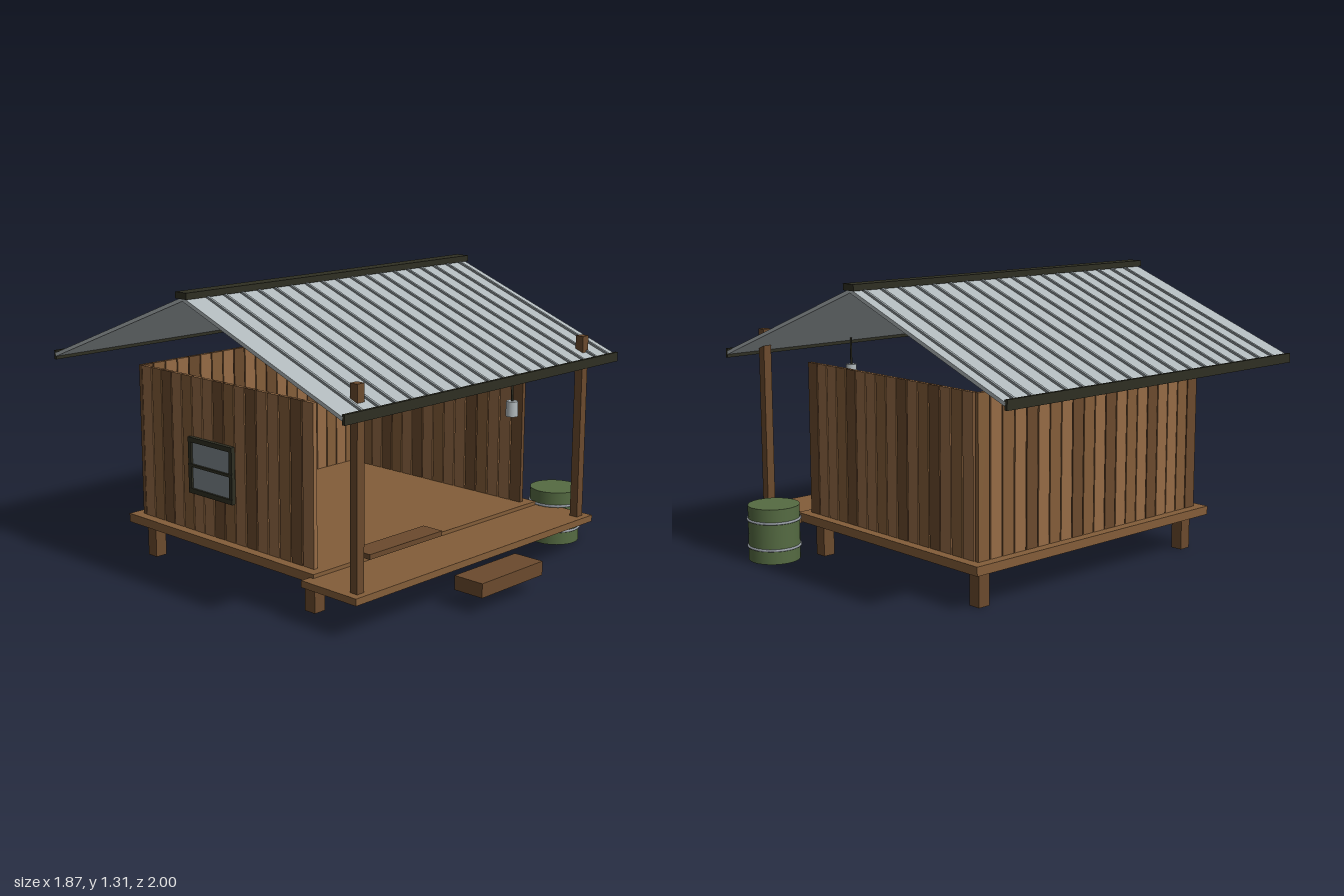
import * as THREE from 'three';

const mat = (name, color) => {
  const m = new THREE.MeshStandardMaterial({ color });
  m.name = name;
  return m;
};

export function createModel() {
  const lightWood = mat('light wood', 0x956b45);
  const midWood = mat('mid wood', 0x835d39);
  const darkWood = mat('dark wood', 0x6b4a2d);
  const roofMetal = mat('roof metal', 0xb0b8bb);
  const seamMetal = mat('seam metal', 0x8c9497);
  const darkTrim = mat('dark trim', 0x2e2e22);
  const barrelGreen = mat('barrel green', 0x556b42);
  const hoopMetal = mat('hoop metal', 0x9298a0);
  const glass = mat('window glass', 0x7d878c);
  const woods = { L: lightWood, M: midWood, D: darkWood };

  const model = new THREE.Group();
  model.name = 'cabin';

  const group = (name, parent = model) => {
    const g = new THREE.Group();
    g.name = name;
    parent.add(g);
    return g;
  };
  const add = (name, geo, material, x, y, z, parent = model) => {
    const m = new THREE.Mesh(geo, material);
    m.name = name;
    m.position.set(x, y, z);
    parent.add(m);
    return m;
  };
  // Box given by its lower and upper limits on each axis
  const box = (name, material, [x0, x1], [y0, y1], [z0, z1], parent = model) =>
    add(name, new THREE.BoxGeometry(x1 - x0, y1 - y0, z1 - z0), material,
      (x0 + x1) / 2, (y0 + y1) / 2, (z0 + z1) / 2, parent);

  const cx = -0.045; // house axis in x
  const cz = -0.06;  // ridge line in z

  // Floor, lower porch deck and stilts
  box('floor', midWood, [cx - 0.735, cx + 0.735], [0.16, 0.2], [-0.67, 0.55]);
  box('porchDeck', midWood, [cx - 0.785, cx + 0.785], [0.153, 0.183], [0.53, 0.84]);
  for (const sx of [-1, 1])
    for (const sz of [-1, 1]) {
      const x = cx + sx * 0.645, z = cz + sz * 0.525;
      box('stilt', darkWood, [x - 0.029, x + 0.029], [0, 0.16], [z - 0.029, z + 0.029]);
    }

  // Plank walls with narrow open gaps; the front stays open
  const backWall = group('backWall');
  const backPattern = 'DMLLDLMLDLMDLMLDLMLM';
  for (let i = 0; i < 20; i++) {
    const x = cx - 0.69 + i * 0.069;
    box('plank', woods[backPattern[i]], [x + 0.003, x + 0.066], [0.2, 0.9], [-0.625, -0.605], backWall);
  }
  const sidePattern = { '1': 'DLLMDLLMLDLMDLML', '-1': 'LDMLLDLMDLLMLDML' };
  for (const s of [-1, 1]) {
    const wall = group(s > 0 ? 'leftWall' : 'rightWall');
    const x = cx + s * 0.68;
    for (let i = 0; i < 16; i++) {
      const z = 0.507 - i * 0.0695;
      box('plank', woods[sidePattern[s][i]], [x - 0.01, x + 0.01], [0.2, 0.9], [z - 0.063, z], wall);
    }
  }

  // Window on the right wall
  const win = group('window');
  box('pane', glass, [-0.746, -0.736], [0.39, 0.62], [-0.25, 0.01], win);
  for (const [y0, y1] of [[0.378, 0.4], [0.499, 0.511], [0.61, 0.632]])
    box('frameRail', darkTrim, [-0.756, -0.736], [y0, y1], [-0.263, 0.027], win);
  for (const z of [-0.263, 0.007])
    box('frameStile', darkTrim, [-0.755, -0.736], [0.379, 0.631], [z, z + 0.02], win);

  // Porch posts, running up through the roof
  for (const s of [-1, 1]) {
    const x = cx + s * 0.728;
    box('porchPost', darkWood, [x - 0.02, x + 0.02], [0.18, 1.03], [0.77, 0.81]);
  }

  // Roof: two sloping sheets with standing seams
  const run = 0.93, rise = 0.355;
  const length = Math.hypot(run, rise);
  for (const s of [-1, 1]) {
    const slope = group(s > 0 ? 'frontRoof' : 'backRoof');
    slope.position.set(cx, 1.287, cz);
    slope.rotation.x = s * Math.atan2(rise, run);
    add('roofSheet', new THREE.BoxGeometry(1.77, 0.016, length), roofMetal, 0, -0.008, s * length / 2, slope);
    for (let i = 0; i < 18; i++)
      add('seam', new THREE.BoxGeometry(0.012, 0.01, length), seamMetal,
        -0.775 + i * 0.0946, 0.004, s * length / 2, slope);
    const z = cz + s * 0.931;
    box('fascia', darkTrim, [cx - 0.885, cx + 0.885], [0.902, 0.944], [z - 0.007, z + 0.007]);
  }
  box('ridgeCap', darkTrim, [cx - 0.893, cx + 0.893], [1.28, 1.308], [cz - 0.035, cz + 0.035]);

  // Step and bench board
  box('step', darkWood, [-0.25, 0.156], [0.075, 0.138], [0.85, 1]);
  box('bench', darkWood, [-0.648, -0.205], [0.276, 0.298], [0.635, 0.74]);

  // Hanging lantern
  const lantern = group('lantern');
  add('lanternCord', new THREE.CylinderGeometry(0.005, 0.005, 0.14, 8), darkTrim, 0.172, 0.87, 0.8, lantern);
  add('lanternBody', new THREE.CylinderGeometry(0.025, 0.028, 0.066, 16), roofMetal, 0.172, 0.777, 0.8, lantern);

  // Barrel with two hoops
  const barrel = group('barrel');
  barrel.position.set(0.807, 0, 0.575);
  add('barrelBody', new THREE.CylinderGeometry(0.118, 0.118, 0.255, 24), barrelGreen, 0, 0.1275, 0, barrel);
  for (const y of [0.065, 0.19]) {
    const hoop = add('hoop', new THREE.TorusGeometry(0.119, 0.006, 8, 24), hoopMetal, 0, y, 0, barrel);
    hoop.rotation.x = Math.PI / 2;
  }

  return model;
}
